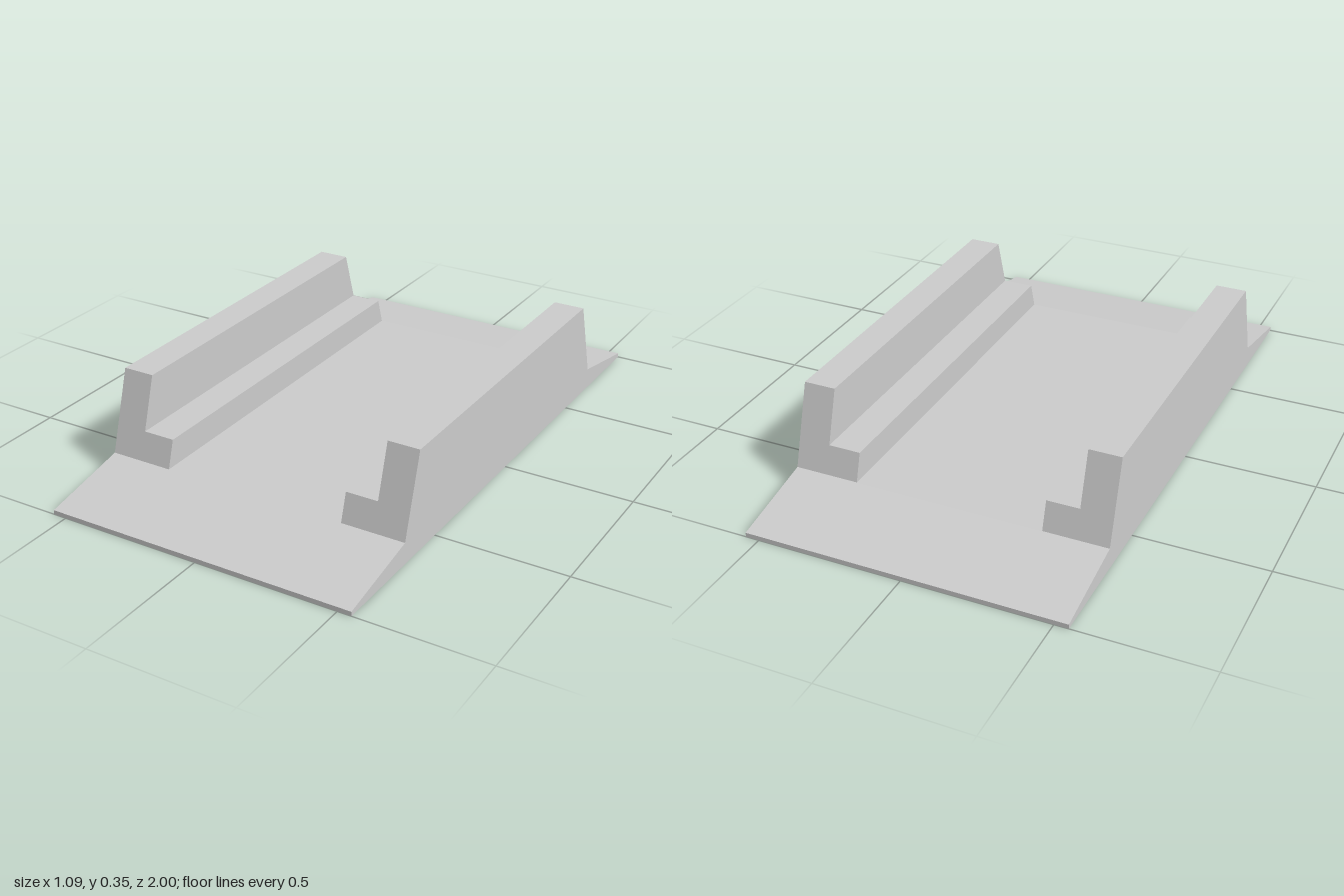
import * as THREE from 'three';

const HALF_WIDTH = 0.547, DECK_Y = 0.075, DECK_Z = 0.69;
const RAIL_Y = 0.35, RAIL_Z = 0.605;

const material = new THREE.MeshStandardMaterial({ color: 0xcccccc, flatShading: true });

function extrude(points, depth) {
  const shape = new THREE.Shape(points.map(([x, y]) => new THREE.Vector2(x, y)));
  const geometry = new THREE.ExtrudeGeometry(shape, { depth, bevelEnabled: false });
  return geometry.translate(0, 0, -depth / 2);
}

// Flat deck with a shallow ramp at each end, extruded across the width
function createDeck() {
  const geometry = extrude([
    [-1, 0], [1, 0], [1, 0.015], [DECK_Z, DECK_Y], [-DECK_Z, DECK_Y], [-1, 0.015],
  ], HALF_WIDTH * 2);
  geometry.rotateY(Math.PI / 2);
  const mesh = new THREE.Mesh(geometry, material);
  mesh.name = 'rampedDeck';
  return mesh;
}

// L-shaped side rail: tall outer wall and low inner ledge, with sloped ends
function createRail(side) {
  const geometry = extrude([
    [0.325, DECK_Y], [HALF_WIDTH, DECK_Y], [HALF_WIDTH, RAIL_Y],
    [0.437, RAIL_Y], [0.437, 0.17], [0.325, 0.17],
  ].map(([x, y]) => [x * side, y]), DECK_Z * 2);
  // Lean both ends inward as the rail rises
  const p = geometry.attributes.position;
  for (let i = 0; i < p.count; i++) {
    const t = (p.getY(i) - DECK_Y) / (RAIL_Y - DECK_Y);
    p.setZ(i, Math.sign(p.getZ(i)) * THREE.MathUtils.lerp(DECK_Z, RAIL_Z, t));
  }
  geometry.computeVertexNormals();
  const mesh = new THREE.Mesh(geometry, material);
  mesh.name = side > 0 ? 'leftRail' : 'rightRail';
  return mesh;
}

export function createModel() {
  const group = new THREE.Group();
  group.name = 'railedPlatform';
  group.add(createDeck(), createRail(1), createRail(-1));
  return group;
}
